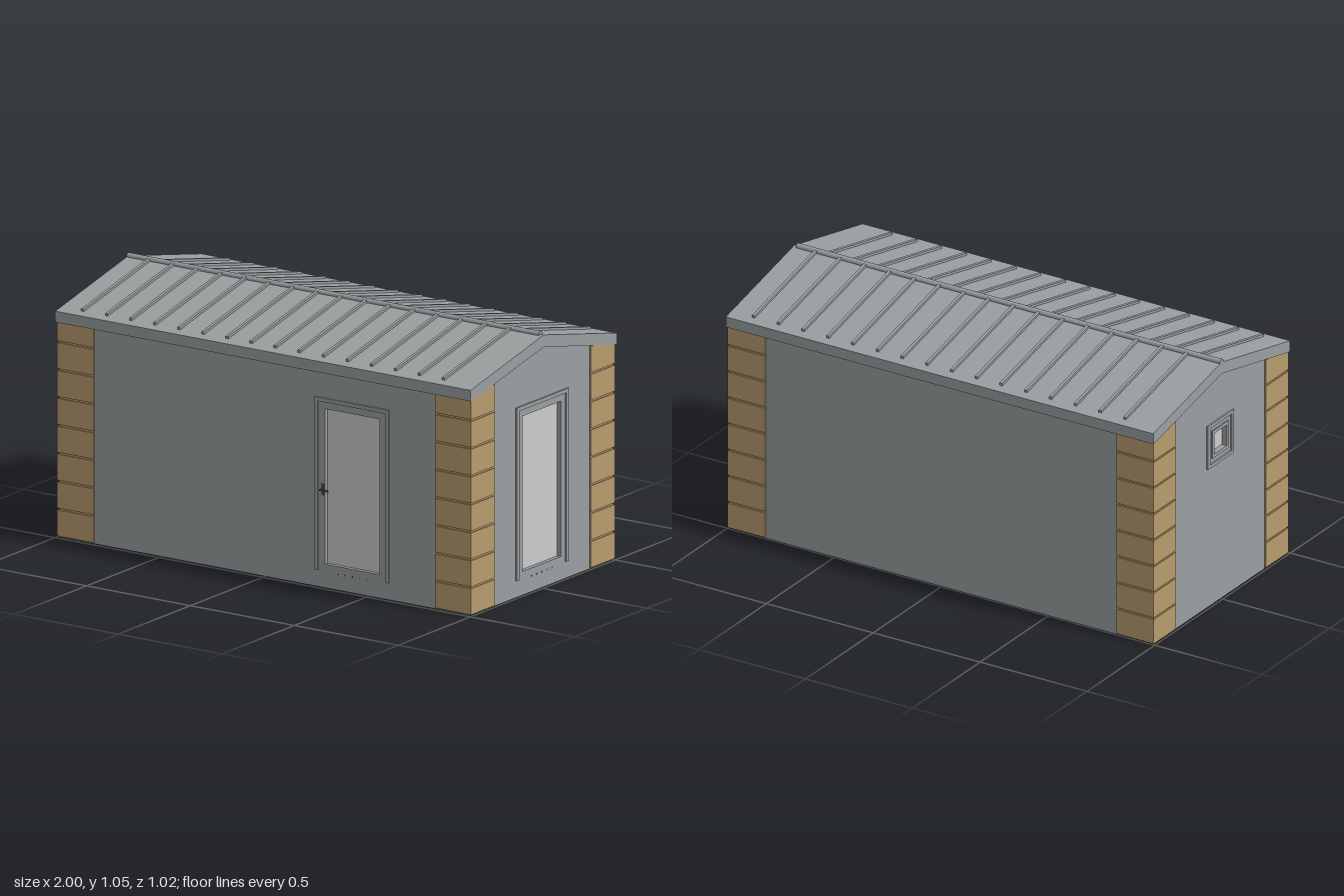
import * as THREE from 'three';

const mat = (color, side = THREE.FrontSide) => new THREE.MeshStandardMaterial({ color, side });
const wallMat = mat(0x9a9fa1);
const stoneMat = mat(0xb89c6e);
const glassMat = mat(0xcccccc);
const darkMat = mat(0x555859);

const HX = 0.99, HZ = 0.49, THICK = 0.05;   // wall half length, half width, thickness
const EAVE = 0.93, RIDGE = 1.04, RZ = 0.505; // roof section

function add(parent, name, geo, material, x = 0, y = 0, z = 0) {
  const m = new THREE.Mesh(geo, material);
  m.name = name;
  m.position.set(x, y, z);
  parent.add(m);
  return m;
}

// Box given by its minimum and maximum corners
function span(parent, name, material, a, b) {
  const geo = new THREE.BoxGeometry(b[0] - a[0], b[1] - a[1], b[2] - a[2]);
  return add(parent, name, geo, material, (a[0] + b[0]) / 2, (a[1] + b[1]) / 2, (a[2] + b[2]) / 2);
}

const poly = (pts) => new THREE.Shape(pts.map(([x, y]) => new THREE.Vector2(x, y)));
const rect = (x0, y0, x1, y1) => [[x0, y0], [x1, y0], [x1, y1], [x0, y1]];
const extrude = (shape, depth) => new THREE.ExtrudeGeometry(shape, { depth, bevelEnabled: false });

// One wall facing +z, with an optional opening, glass and raised trim
function wall(name, outline, dist, turn, opening) {
  const g = new THREE.Group();
  g.name = name;
  g.rotation.y = turn;
  const shape = poly(outline);
  if (opening) {
    const { cx, w, y0, y1, trim } = opening;
    shape.holes.push(new THREE.Path(rect(cx - w, y0, cx + w, y1).reverse().map(([x, y]) => new THREE.Vector2(x, y))));
    span(g, 'glass', glassMat, [cx - w - 0.01, y0 - 0.01, dist - 0.03], [cx + w + 0.01, y1 + 0.01, dist - 0.018]);
    const t = add(g, 'trim', extrude(trim, 0.012), wallMat, cx, 0, dist - 0.005);
    t.name = 'windowTrim';
    // drain holes under the glass
    if (opening.drains) for (let i = -2; i <= 2; i++)
      add(g, 'drainHole', new THREE.BoxGeometry(0.006, 0.004, 0.003), darkMat, cx + i * 0.035, 0.065, dist);
  }
  add(g, 'wallPanel', extrude(shape, THICK), wallMat, 0, 0, dist - THICK);
  return g;
}

// Trim open at the bottom, for doors
function doorTrim() {
  const o = 0.179, i = 0.163;
  return poly([[-o, 0.07], [-i, 0.07], [-i, 0.764], [i, 0.764], [i, 0.07], [o, 0.07], [o, 0.78], [-o, 0.78]]);
}

// Closed square trim, for the small window
function squareTrim(cy, o, i) {
  const s = poly(rect(-o, cy - o, o, cy + o));
  s.holes.push(poly(rect(-i, cy - i, i, cy + i).reverse()));
  return s;
}

export function createModel() {
  const model = new THREE.Group();
  model.name = 'house';
  const house = new THREE.Group();
  house.name = 'building';
  house.position.z = -0.006;
  model.add(house);

  // Walls
  const side = rect(-HX, 0, HX, 0.91);
  const gable = [[-HZ, 0], [HZ, 0], [HZ, 0.905], [0, 1.01], [-HZ, 0.905]];
  const door = (cx, w) => ({ cx, w, y0: 0.097, y1: 0.735, trim: doorTrim(), drains: true });
  house.add(
    wall('frontWall', side, HZ, 0, door(0.42, 0.131)),
    wall('backWall', side, HZ, Math.PI),
    wall('leftGable', gable, HX, Math.PI / 2, door(0, 0.133)),
    wall('rightGable', gable, HX, -Math.PI / 2, { cx: 0, w: 0.045, y0: 0.655, y1: 0.745, trim: squareTrim(0.7, 0.095, 0.08) })
  );
  const inner = add(house.getObjectByName('rightGable'), 'innerTrim', extrude(squareTrim(0.7, 0.06, 0.045), 0.01), wallMat, 0, 0, HX - 0.005);
  inner.castShadow = false;

  // Floor slab, set up into the base
  span(house, 'floor', wallMat, [-HX + 0.02, 0.025, -HZ + 0.02], [HX - 0.02, 0.05, HZ - 0.02]);

  // Corner stones: a backing post and eight courses at each corner
  const course = 0.1145, gap = 0.008;
  for (const sx of [-1, 1]) for (const sz of [-1, 1]) {
    const corner = new THREE.Group();
    corner.name = 'cornerStones';
    house.add(corner);
    const block = (name, y0, y1, out) => add(corner, name,
      new THREE.BoxGeometry(HX + out - 0.822, y1 - y0, HZ + out - 0.332), stoneMat,
      sx * (HX + out + 0.822) / 2, (y0 + y1) / 2, sz * (HZ + out + 0.332) / 2);
    block('backing', 0.003, 0.91, 0.002);
    for (let i = 0; i < 8; i++)
      block('stone', 0.006 + i * course, Math.min(0.006 + (i + 1) * course - gap, 0.92), 0.007);
  }

  // Roof slab with fascia
  const roof = new THREE.Group();
  roof.name = 'roof';
  house.add(roof);
  const section = poly([[-RZ, 0.885], [-HZ, 0.885], [0, 0.99], [HZ, 0.885], [RZ, 0.885], [RZ, EAVE], [0, RIDGE], [-RZ, EAVE]]);
  const slab = add(roof, 'roofSlab', extrude(section, 2), wallMat, -1, 0, 0);
  slab.rotation.y = Math.PI / 2;

  // Standing seams, the back set being the front set turned round
  const slope = (RIDGE - EAVE) / RZ;
  const at = (z) => RIDGE - slope * z;
  const seam = poly([[0, at(0) - 0.01], [0.468, at(0.468) - 0.01], [0.468, at(0.468) + 0.01], [0, at(0) + 0.01]]);
  const seamGeo = extrude(seam, 0.013);
  seamGeo.translate(0, 0, -0.0065);
  seamGeo.rotateY(-Math.PI / 2);
  for (const turn of [0, Math.PI]) {
    const half = new THREE.Group();
    half.name = turn ? 'backSeams' : 'frontSeams';
    half.rotation.y = turn;
    for (let i = 0; i < 16; i++) add(half, 'seam', seamGeo, wallMat, -0.894 + i * 0.1158);
    roof.add(half);
  }

  // Ridge cap
  const cap = add(roof, 'ridgeCap', new THREE.CylinderGeometry(0.013, 0.013, 1.985, 12), wallMat, -0.0075, 1.04, 0);
  cap.rotation.z = Math.PI / 2;

  // Door handle
  const handle = new THREE.Group();
  handle.name = 'doorHandle';
  house.add(handle);
  span(handle, 'plate', darkMat, [0.273, 0.38, 0.485], [0.285, 0.425, 0.494]);
  span(handle, 'stem', darkMat, [0.276, 0.401, 0.49], [0.283, 0.408, 0.513]);
  span(handle, 'lever', darkMat, [0.276, 0.401, 0.507], [0.317, 0.408, 0.513]);

  return model;
}
